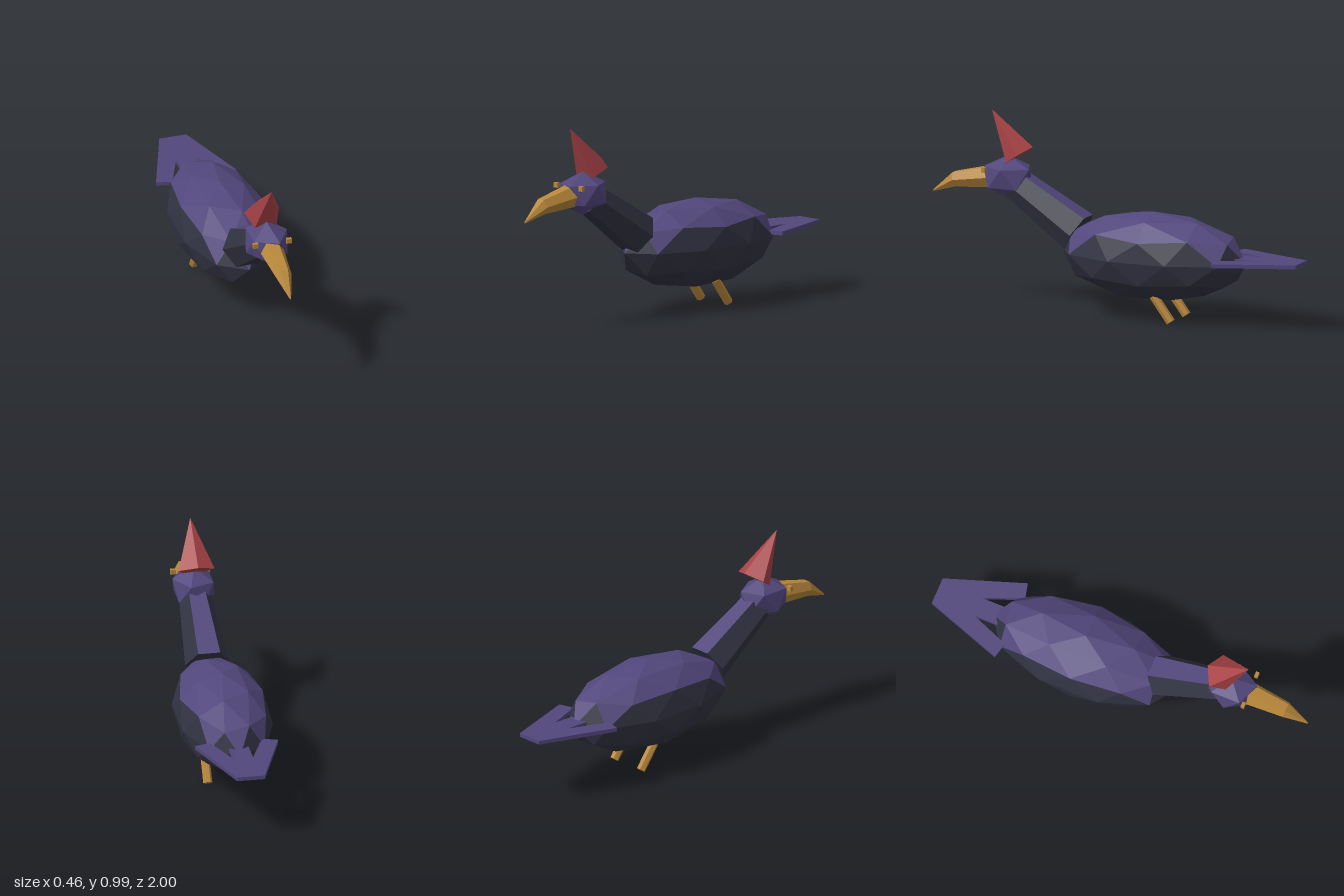
import * as THREE from 'three';

const material = (name, color, extra = {}) =>
  Object.assign(new THREE.MeshStandardMaterial({ color, flatShading: true, ...extra }), { name });

// Ring of n points around a centre on the x = cx plane, facing along d in the yz plane
function ring(n, [cx, cy, cz], [dy, dz], rx, rv, phase = 0) {
  const len = Math.hypot(dy, dz);
  return Array.from({ length: n }, (_, i) => {
    const a = phase + (i / n) * Math.PI * 2;
    const v = rv * Math.sin(a);
    return new THREE.Vector3(cx + rx * Math.cos(a), cy + (v * dz) / len, cz - (v * dy) / len);
  });
}

// Faceted skin through a list of rings, closed at both ends
function loft(rings) {
  const tris = [];
  const n = rings[0].length;
  const last = rings[rings.length - 1];
  for (let i = 0; i < n; i++) {
    const j = (i + 1) % n;
    for (let k = 0; k < rings.length - 1; k++) {
      const a = rings[k], b = rings[k + 1];
      tris.push(a[i], a[j], b[j], a[i], b[j], b[i]);
    }
    if (i > 0 && i < n - 1) {
      tris.push(rings[0][0], rings[0][j], rings[0][i], last[0], last[i], last[j]);
    }
  }
  const geo = new THREE.BufferGeometry().setFromPoints(tris);
  geo.computeVertexNormals();
  return geo;
}

// Icosphere standing on a vertex, with an upper-ring vertex toward +x
function icosphere(detail, rx, ry, rz) {
  const geo = new THREE.IcosahedronGeometry(1, detail);
  geo.rotateZ(-Math.atan2(1, (1 + Math.sqrt(5)) / 2));
  geo.scale(rx, ry, rz);
  geo.computeVertexNormals();
  return geo;
}

// Sort triangles into material groups: 0 for faces turned up past the limit, 1 for the rest
function groupByUpwardFaces(geo, limit) {
  const p = geo.attributes.position;
  const t = new THREE.Triangle();
  const normal = new THREE.Vector3();
  geo.clearGroups();
  for (let i = 0; i < p.count; i += 3) {
    t.setFromAttributeAndIndices(p, i, i + 1, i + 2);
    geo.addGroup(i, 3, t.getNormal(normal).y > limit ? 0 : 1);
  }
  return geo;
}

export function createModel() {
  const model = new THREE.Group();
  model.name = 'bird';
  const purple = material('purple plumage', 0x52477c);
  const slate = material('dark plumage', 0x323342);
  const gold = material('gold', 0xb8873a);
  const red = material('red crest', 0xa84246);

  const add = (name, geo, mat, x = 0, y = 0, z = 0) => {
    const mesh = new THREE.Mesh(geo, mat);
    mesh.name = name;
    mesh.position.set(x, y, z);
    model.add(mesh);
    return mesh;
  };

  // Body: purple back over dark flanks and belly
  add('body', groupByUpwardFaces(icosphere(1, 0.24, 0.225, 0.5), 0.43), [purple, slate], 0, 0.322, -0.2);

  // Neck: tapered hexagon with a purple upper face
  const neckDir = [0.22, 0.34];
  const neck = loft([
    ring(6, [0, 0.41, 0.21], neckDir, 0.112, 0.112),
    ring(6, [0, 0.63, 0.55], neckDir, 0.082, 0.082),
  ]);
  add('neck', groupByUpwardFaces(neck, 0.6), [purple, slate]);

  // Head
  add('head', icosphere(0, 0.12, 0.11, 0.145), purple, 0, 0.66, 0.59);

  // Beak: hexagonal, bending down to a point
  add('beak', loft([
    ring(6, [0, 0.658, 0.67], [0, 1], 0.062, 0.062),
    ring(6, [0, 0.625, 0.88], [-0.2, 1], 0.042, 0.042),
    ring(6, [0, 0.556, 1.0], [-0.4, 1], 0.003, 0.004),
  ]), gold);

  // Crest: five-sided spike leaning forward
  const crestDir = [0.83, 0.55];
  add('crest', loft([
    ring(5, [0, 0.776, 0.526], crestDir, 0.096, 0.08, Math.PI / 2),
    ring(5, [0, 0.992, 0.68], crestDir, 0.001, 0.001, Math.PI / 2),
  ]), red);

  // Eyes and legs, one of each per side
  for (const [side, s] of [['left', 1], ['right', -1]]) {
    add(side + 'Eye', new THREE.BoxGeometry(0.027, 0.025, 0.018), gold, s * 0.087, 0.702, 0.688);
    const legDir = [-0.125, -0.09];
    add(side + 'Leg', loft([
      ring(6, [s * 0.097, 0.14, -0.24], legDir, 0.023, 0.023),
      ring(6, [s * 0.097, 0.015, -0.333], legDir, 0.023, 0.023),
    ]), gold);
  }

  // Tail: flat plate with a middle strip and two swept side feathers
  const half = [[0.07, 1], [0.21, 0.6], [0.13, 0.58], [0.05, 0.78], [0.05, 0.55]];
  const outline = [...half, ...half.map(([x, y]) => [-x, y]).reverse()];
  const tail = new THREE.ExtrudeGeometry(
    new THREE.Shape(outline.map(([x, y]) => new THREE.Vector2(x, y))),
    { depth: 0.02, bevelEnabled: false },
  );
  tail.rotateX(-Math.PI / 2);
  add('tail', tail, purple, 0, 0.332, 0);

  return model;
}
